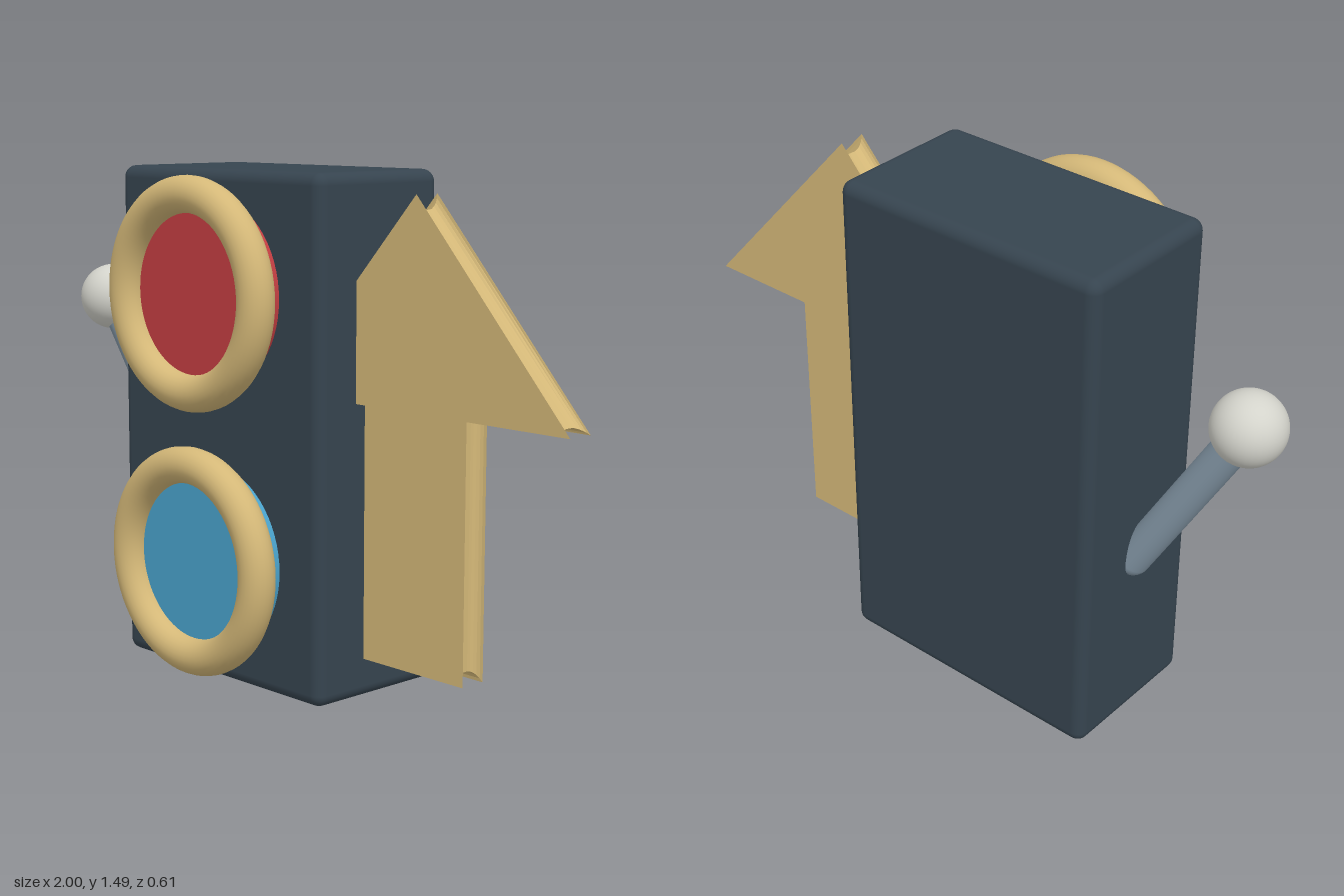
import * as THREE from 'three';
import { RoundedBoxGeometry } from 'three/addons/geometries/RoundedBoxGeometry.js';

const material = (name, color) => {
  const m = new THREE.MeshStandardMaterial({ color });
  m.name = name;
  return m;
};

export function createModel() {
  const group = new THREE.Group();
  const charcoal = material('charcoal', 0x36444f);
  const gold = material('gold', 0xd4b878);
  const red = material('red', 0xc43e42);
  const blue = material('blue', 0x4aa3cc);
  const steel = material('steel', 0x8194a3);
  const ivory = material('ivory', 0xd3d3cb);

  const add = (name, geometry, mat, x = 0, y = 0, z = 0) => {
    const mesh = new THREE.Mesh(geometry, mat);
    mesh.name = name;
    mesh.position.set(x, y, z);
    group.add(mesh);
    return mesh;
  };

  // Housing
  const cx = -0.185;
  add('housing', new RoundedBoxGeometry(0.86, 1.485, 0.465, 4, 0.035), charcoal, cx, 0.7425, -0.0725);

  // Two round lamps, each a disc in a ring
  for (const [name, y, mat] of [['upper', 1.137, red], ['lower', 0.367, blue]]) {
    add(name + 'Lamp', new THREE.CylinderGeometry(0.27, 0.27, 0.11, 64), mat, cx, y, 0.195).rotation.x = Math.PI / 2;
    add(name + 'Ring', new THREE.TorusGeometry(0.281, 0.053, 24, 72), gold, cx, y, 0.256);
  }

  // Arrow with a rounded groove running along its edge
  const arrow = new THREE.Shape([
    [0.28, 0.13], [0.655, 0.13], [0.655, 0.85], [1, 0.85],
    [0.467, 1.433], [-0.066, 0.85], [0.28, 0.85],
  ].map(([x, y]) => new THREE.Vector2(x, y)));
  add('arrow', new THREE.ExtrudeGeometry(arrow, {
    depth: 0.02, bevelEnabled: true, bevelThickness: 0.03, bevelSize: -0.03, bevelSegments: 5,
  }), gold, 0, 0, -0.03);

  // Side lever with a ball knob
  const knob = new THREE.Vector3(-0.898, 1.06, -0.022);
  const foot = new THREE.Vector3(-0.605, 0.535, -0.078);
  const axis = knob.clone().sub(foot);
  const mid = knob.clone().add(foot).multiplyScalar(0.5);
  const lever = add('lever', new THREE.CapsuleGeometry(0.05, axis.length(), 8, 28), steel, mid.x, mid.y, mid.z);
  lever.quaternion.setFromUnitVectors(new THREE.Vector3(0, 1, 0), axis.normalize());
  add('leverKnob', new THREE.SphereGeometry(0.102, 36, 24), ivory, knob.x, knob.y, knob.z);

  return group;
}
